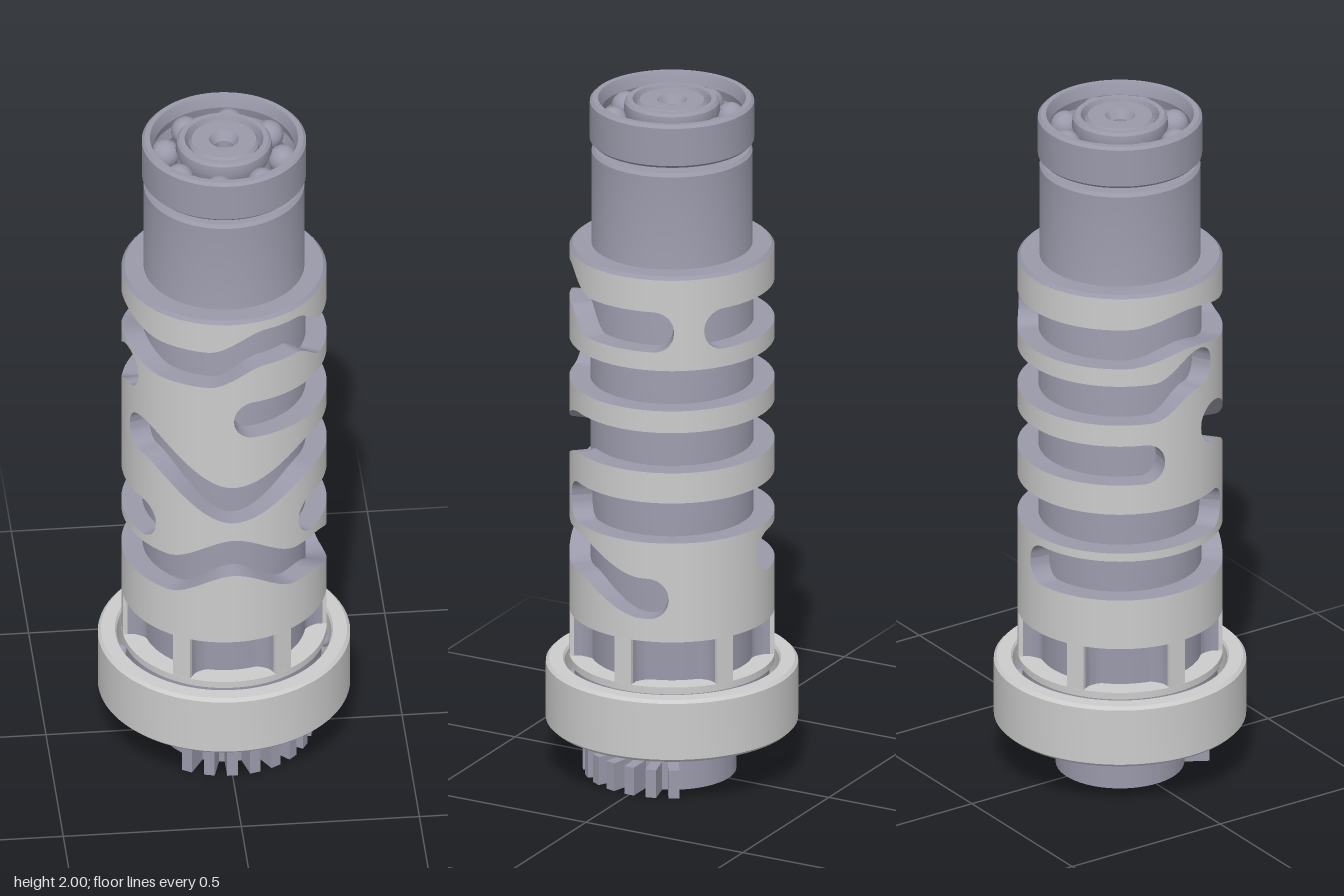
import * as THREE from 'three';
import { toCreasedNormals } from 'three/addons/utils/BufferGeometryUtils.js';

const light = new THREE.MeshStandardMaterial({ color: 0xcccccc, side: THREE.DoubleSide });
const steel = new THREE.MeshStandardMaterial({ color: 0x9999aa, side: THREE.DoubleSide });
const RAD = Math.PI / 180;
const R = 0.287, FLOOR = 0.228, HALF = 0.06, COLS = 720;

function add(parent, name, geometry, material) {
  const mesh = new THREE.Mesh(geometry, material);
  mesh.name = name;
  parent.add(mesh);
  return mesh;
}

// Turned part; the profile lists [radius, y], outer side running upwards
function turned(parent, name, profile, material) {
  const pts = profile.map(([r, y]) => new THREE.Vector2(r, y));
  return add(parent, name, toCreasedNormals(new THREE.LatheGeometry(pts, 96), 0.5), material);
}

// Upright prism from polar points [degrees from the front towards +x, radius]
function prism(parent, name, polar, y0, y1, material) {
  const shape = new THREE.Shape(polar.map(([a, r]) =>
    new THREE.Vector2(r * Math.sin(a * RAD), -r * Math.cos(a * RAD))));
  const g = new THREE.ExtrudeGeometry(shape, { depth: y1 - y0, bevelEnabled: false });
  g.rotateX(-Math.PI / 2).translate(0, y0, 0);
  return add(parent, name, toCreasedNormals(g, 0.5), material);
}

// Toothed outline: a disc with tapered teeth at the given angles
function toothed(root, tip, teeth, halfAngle) {
  const pts = [];
  for (let a = -180; a < 180; a += 3) {
    if (!teeth.some(t => Math.abs(((a - t + 540) % 360) - 180) <= halfAngle)) pts.push([a, root]);
  }
  for (const t of teeth) {
    const a = ((t + 540) % 360) - 180;
    pts.push([a - halfAngle, root], [a - halfAngle * 0.7, tip], [a + halfAngle * 0.7, tip], [a + halfAngle, root]);
  }
  return pts.sort((p, q) => p[0] - q[0]);
}

// Cam grooves from bottom to top: angular span and centre line [degrees, y]
const grooves = [
  { from: 175, to: 477, path: [[320, 0.69], [360, 0.765], [400, 0.69], [412, 0.69], [462, 0.607]] },
  { from: 41, to: 313, path: [[41, 0.835]] },
  { from: -72, to: 262, path: [[-60, 1.11], [0, 0.945], [55, 1.045]] },
  { from: 0, to: 298, path: [[255, 1.23], [285, 1.3]] },
  { from: 137, to: 480, path: [[240, 1.404], [278, 1.435], [318, 1.404], [345, 1.404], [379, 1.469], [399, 1.469], [425, 1.404]] },
];

// Centre height and half height of a groove at an angle, with round ends
function grooveAt({ from, to, path }, deg) {
  const t = from + ((((deg - from) % 360) + 360) % 360);
  let y = path[0][1];
  for (let i = 1; i < path.length; i++) {
    const [a, ya] = path[i - 1], [b, yb] = path[i];
    if (t >= a) y = ya + (yb - ya) * THREE.MathUtils.smoothstep(t, a, b);
  }
  const d = Math.min(t - from, to - t) * RAD * R;
  const half = d <= 0 ? 0 : d < HALF ? Math.sqrt(HALF ** 2 - (HALF - d) ** 2) : HALF;
  return { y, half };
}

// Closed strip around the axis between two curves that return [radius, y]
function strip(lower, upper, present = () => true) {
  const pos = [], index = [];
  for (let i = 0; i < COLS; i++) {
    const deg = i * 360 / COLS, s = Math.sin(deg * RAD), c = Math.cos(deg * RAD);
    for (const [r, y] of [lower(deg), upper(deg)]) pos.push(r * s, y, r * c);
    const n = (i + 1) % COLS;
    if (present(deg) || present(n * 360 / COLS)) {
      index.push(2 * i, 2 * n, 2 * n + 1, 2 * i, 2 * n + 1, 2 * i + 1);
    }
  }
  const g = new THREE.BufferGeometry();
  g.setAttribute('position', new THREE.Float32BufferAttribute(pos, 3));
  g.setIndex(index);
  g.computeVertexNormals();
  return g;
}

function buildDrum(parent) {
  const drum = new THREE.Group();
  drum.name = 'camDrum';
  parent.add(drum);
  const edge = (i, sign) => deg => {
    if (i < 0) return 0.48;
    if (i >= grooves.length) return 1.56;
    const g = grooveAt(grooves[i], deg);
    return g.y + sign * g.half;
  };
  // Outer surface between neighbouring grooves
  for (let i = 0; i <= grooves.length; i++) {
    const lo = edge(i - 1, 1), hi = edge(i, -1);
    add(drum, 'drumBand', strip(d => [R, lo(d)], d => [R, hi(d)]), light);
  }
  // Groove side walls
  grooves.forEach((g, i) => {
    for (const sign of [-1, 1]) {
      const y = edge(i, sign);
      add(drum, 'grooveWall', strip(d => [FLOOR - 0.005, y(d)], d => [R, y(d)],
        d => grooveAt(g, d).half > 0), steel);
    }
  });
  turned(drum, 'drumUnderside', [[0.15, 0.48], [R, 0.48]], steel);
  turned(drum, 'drumTopRim', [[R, 1.56], [0.278, 1.57], [0.2, 1.57]], steel);

  // Pocketed ring under the drum: concave pockets between six ribs
  const outline = [];
  for (let a = 0; a < 360; a += 1) {
    const off = Math.abs((a % 60) - 30);              // angle away from the rib
    const u = Math.max(0, 1 - (off - 5) / 9);         // rounded pocket corner
    outline.push([a, off <= 5 ? 0.284 : 0.228 + 0.035 * u * u]);
  }
  prism(drum, 'pocketRing', outline, 0.34, 0.485, steel);
  for (let k = 0; k < 6; k++) {
    const a = (30 + 60 * k) * RAD;
    const rib = add(drum, 'pocketRib', new THREE.BoxGeometry(0.052, 0.14, 0.012), light);
    rib.position.set(0.28 * Math.sin(a), 0.412, 0.28 * Math.cos(a));
    rib.rotation.y = a;
  }
  turned(drum, 'lowerFlange', [[0, 0.325], [R, 0.325], [R, 0.345], [0, 0.345]], light);
}

// Ring of bearing balls
function balls(parent, name, count, ring, radius, y, startDeg) {
  const g = new THREE.SphereGeometry(radius, 24, 16);
  for (let k = 0; k < count; k++) {
    const a = (startDeg + k * 360 / count) * RAD;
    add(parent, name, g, steel).position.set(ring * Math.sin(a), y, ring * Math.cos(a));
  }
}

export function createModel() {
  const model = new THREE.Group();
  model.name = 'selectorDrum';

  // Core, shoulder and shaft end with a centre hole
  turned(model, 'core', [
    [0, 0.14], [0.16, 0.14], [0.16, 0.165], [0.245, 0.165], [0.245, 0.33], [FLOOR, 0.34],
    [FLOOR, 1.56], [0.225, 1.57], [0.225, 1.845], [0.217, 1.855], [0.145, 1.855], [0.145, 1.872],
    [0.098, 1.872], [0.098, 1.985], [0.09, 1.995], [0.042, 1.995], [0.026, 1.97], [0.026, 1.92], [0, 1.91],
  ], steel);
  buildDrum(model);

  // Upper ball bearing
  const top = new THREE.Group();
  top.name = 'upperBearing';
  model.add(top);
  turned(top, 'outerRace', [
    [0.205, 1.873], [0.222, 1.873], [0.23, 1.881], [0.23, 1.992], [0.222, 2], [0.207, 2], [0.203, 1.99],
    [0.197, 1.965], [0.205, 1.936], [0.197, 1.907], [0.205, 1.873],
  ], steel);
  turned(top, 'innerRace', [
    [0.106, 1.873], [0.13, 1.873], [0.135, 1.907], [0.125, 1.936], [0.135, 1.965], [0.132, 1.99],
    [0.125, 1.998], [0.11, 1.998], [0.106, 1.99], [0.106, 1.873],
  ], steel);
  balls(top, 'upperBall', 8, 0.165, 0.041, 1.936, 80);

  // Lower ball bearing
  const low = new THREE.Group();
  low.name = 'lowerBearing';
  model.add(low);
  turned(low, 'outerRing', [
    [0.305, 0.145], [0.344, 0.145], [0.353, 0.154], [0.353, 0.321], [0.344, 0.33], [0.305, 0.33],
    [0.3, 0.322], [0.3, 0.153], [0.305, 0.145],
  ], light);
  turned(low, 'innerRing', [
    [0.235, 0.15], [0.268, 0.15], [0.272, 0.156], [0.272, 0.326], [0.235, 0.326], [0.235, 0.15],
  ], steel);
  balls(low, 'lowerBall', 20, 0.287, 0.02, 0.24, 9);

  // Indexing wheel and sector gear at the foot
  const wheelTeeth = Array.from({ length: 8 }, (_, k) => 22.5 + 45 * k);
  prism(model, 'indexWheel', toothed(0.115, 0.155, wheelTeeth, 13), 0.08, 0.145, steel);
  const gearTeeth = Array.from({ length: 11 }, (_, k) => 45 + 15 * (k - 5));
  prism(model, 'sectorGear', toothed(0.18, 0.25, gearTeeth, 5), 0, 0.083, steel);
  return model;
}
